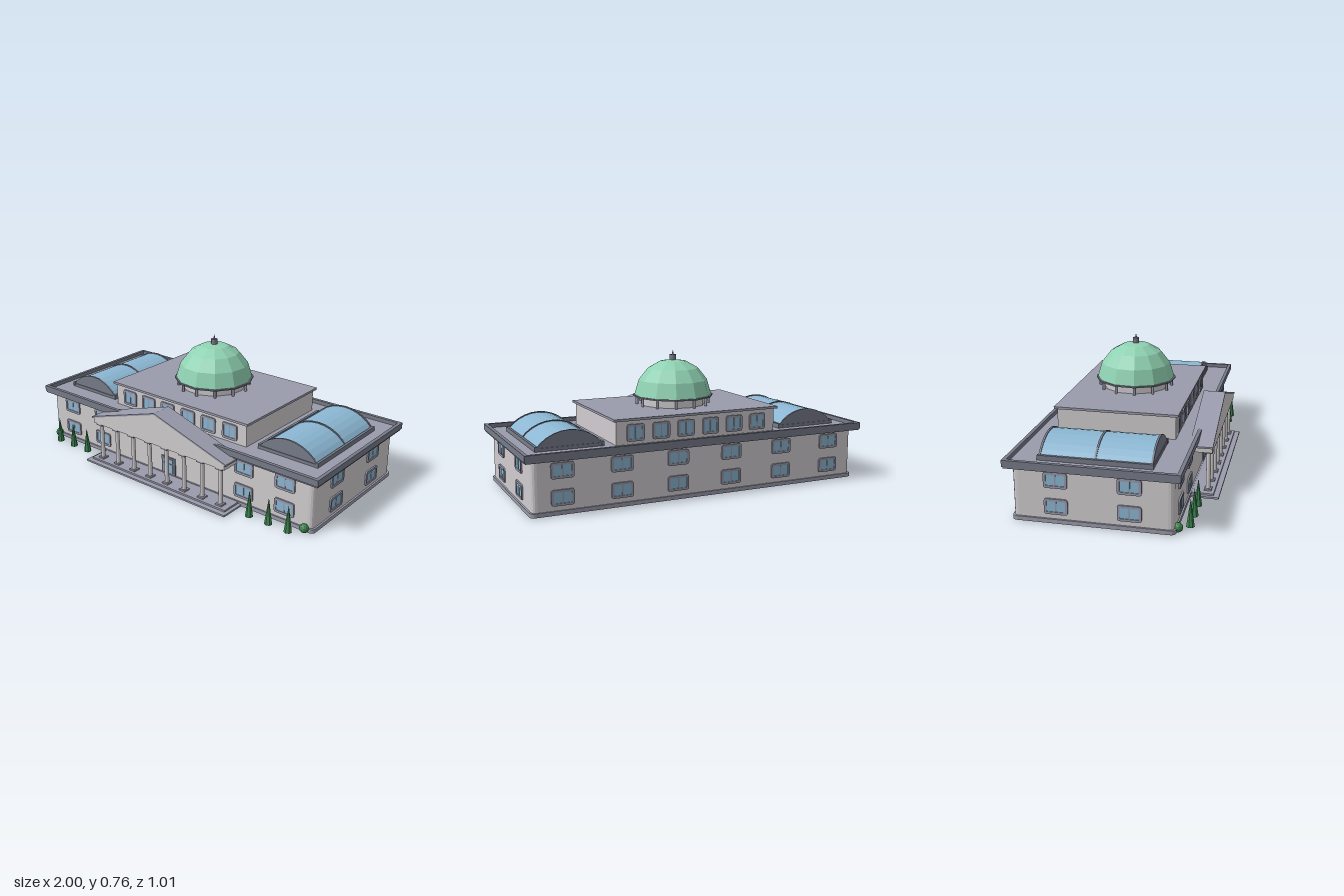
import * as THREE from 'three';

const mat = (name, color) => {
  const m = new THREE.MeshStandardMaterial({ color });
  m.name = name;
  return m;
};
const CZ = -0.06; // centre of the main block in z

export function createModel() {
  const wall = mat('wall stone', 0xd0cccf);
  const roof = mat('roof grey', 0x9a9bac);
  const trim = mat('dark trim', 0x777b89);
  const frame = mat('window frame', 0x9898ab);
  const glass = mat('glass blue', 0x8bb6d2);
  const copper = mat('dome green', 0x90d2b3);
  const leaf = mat('leaf green', 0x3d8650);
  const root = new THREE.Group();
  root.name = 'domedHall';

  const add = (name, geo, material, x = 0, y = 0, z = 0, parent = root) => {
    const m = new THREE.Mesh(geo, material);
    m.name = name;
    m.position.set(x, y, z);
    parent.add(m);
    return m;
  };
  // box given by its centre in x and z and its bottom and top in y
  const box = (name, material, x, z, w, d, y0, y1, parent) =>
    add(name, new THREE.BoxGeometry(w, y1 - y0, d), material, x, (y0 + y1) / 2, z, parent);
  const faceted = (geo) => {
    const g = geo.toNonIndexed();
    g.computeVertexNormals();
    return g;
  };
  const roundRect = (w, h, r, Kind = THREE.Shape) => {
    const s = new Kind(), a = w / 2, b = h / 2;
    s.moveTo(-a + r, -b);
    s.lineTo(a - r, -b).quadraticCurveTo(a, -b, a, -b + r);
    s.lineTo(a, b - r).quadraticCurveTo(a, b, a - r, b);
    s.lineTo(-a + r, b).quadraticCurveTo(-a, b, -a, b - r);
    s.lineTo(-a, -b + r).quadraticCurveTo(-a, -b, -a + r, -b);
    return s;
  };
  const slab = (name, material, w, d, y0, y1, r) => {
    const g = new THREE.ExtrudeGeometry(roundRect(w, d, r), { depth: y1 - y0, bevelEnabled: false, curveSegments: 4 });
    g.rotateX(-Math.PI / 2);
    return add(name, g, material, 0, y0, CZ);
  };

  // main block with plinth, cornice and parapet
  slab('plinth', roof, 1.94, 0.832, 0, 0.022, 0.03);
  slab('mainWalls', wall, 1.92, 0.816, 0.022, 0.285, 0.03);
  box('cornice', trim, 0, CZ, 1.99, 0.88, 0.283, 0.299);
  box('mainRoof', roof, 0, CZ, 1.97, 0.86, 0.299, 0.304);
  const ring = new THREE.Shape([[-1, -0.445], [1, -0.445], [1, 0.445], [-1, 0.445]].map(p => new THREE.Vector2(...p)));
  ring.holes.push(new THREE.Path([[-0.98, -0.425], [-0.98, 0.425], [0.98, 0.425], [0.98, -0.425]].map(p => new THREE.Vector2(...p))));
  const ringGeo = new THREE.ExtrudeGeometry(ring, { depth: 0.035, bevelEnabled: false });
  ringGeo.rotateX(-Math.PI / 2);
  add('parapet', ringGeo, trim, 0, 0.292, CZ);

  // upper block
  box('upperWalls', wall, 0, CZ, 0.96, 0.65, 0.3, 0.434);
  box('upperRoof', roof, 0, CZ, 0.99, 0.68, 0.432, 0.445);

  // windows: rounded frame, mullion and pane, facing +z before turning
  const windowAt = (x, y, z, turn, w = 0.122, h = 0.083) => {
    const g = new THREE.Group();
    g.name = 'window';
    g.position.set(x, y, z);
    g.rotation.y = turn;
    root.add(g);
    const s = roundRect(w, h, 0.014);
    s.holes.push(roundRect(w - 0.026, h - 0.026, 0.004, THREE.Path));
    add('windowFrame', new THREE.ExtrudeGeometry(s, { depth: 0.008, bevelEnabled: false, curveSegments: 3 }), frame, 0, 0, 0, g);
    add('windowPane', new THREE.BoxGeometry(w - 0.024, h - 0.024, 0.004), glass, 0, 0, 0.002, g);
    add('windowMullion', new THREE.BoxGeometry(0.007, h - 0.024, 0.006), frame, 0, 0, 0.003, g);
  };
  for (const y of [0.089, 0.229]) {
    for (const s of [-1, 1]) {
      for (const x of [0.53, 0.79]) windowAt(s * x, y, 0.348, 0);
      for (const x of [0.16, 0.48, 0.8]) windowAt(s * x, y, -0.468, Math.PI);
      for (const z of [0.128, -0.244]) windowAt(s * 0.96, y, z, s * Math.PI / 2);
    }
  }
  for (const s of [-1, 1]) for (const x of [0.075, 0.222, 0.37]) {
    windowAt(s * x, 0.366, 0.265, 0, 0.1, 0.092);
    windowAt(s * x, 0.366, -0.385, Math.PI, 0.1, 0.092);
  }

  // entrance door and the window above it
  windowAt(0, 0.232, 0.348, 0, 0.11, 0.1);
  box('doorFrame', trim, 0, 0.351, 0.1, 0.008, 0.02, 0.128);
  for (const s of [-1, 1]) {
    box('doorPane', glass, s * 0.02, 0.356, 0.03, 0.004, 0.034, 0.088);
    box('transomPane', glass, s * 0.02, 0.356, 0.03, 0.004, 0.096, 0.118);
  }

  // portico: steps, columns, entablature, gable
  box('lowerStep', roof, 0, 0.42, 1.04, 0.17, 0, 0.01);
  box('upperStep', roof, 0, 0.41, 1.0, 0.13, 0.01, 0.02);
  for (let i = 0; i < 8; i++) {
    const x = (i - 3.5) * 0.127;
    box('columnBase', roof, x, 0.438, 0.04, 0.04, 0.02, 0.029);
    add('columnShaft', new THREE.CylinderGeometry(0.012, 0.013, 0.208, 12), wall, x, 0.132, 0.438);
    box('columnCapital', roof, x, 0.438, 0.044, 0.044, 0.235, 0.246);
  }
  const prism = (pts, depth) => new THREE.ExtrudeGeometry(
    new THREE.Shape(pts.map(p => new THREE.Vector2(...p))), { depth, bevelEnabled: false });
  add('pediment', prism([[-0.485, 0.245], [0.485, 0.245], [0.485, 0.278], [0, 0.428], [-0.485, 0.278]], 0.115), wall, 0, 0, 0.347);
  add('gableRoof', prism([[-0.497, 0.272], [0, 0.426], [0.497, 0.272], [0.497, 0.281], [0, 0.435], [-0.497, 0.281]], 0.125), roof, 0, 0, 0.34);

  // vaulted skylights: glass arc, end walls, ribs and curbs
  const arcShape = (half, rise) => {
    const r = (half * half + rise * rise) / (2 * rise), a = Math.asin(half / r), pts = [];
    for (let i = 0; i <= 10; i++) {
      const t = a - (2 * a * i) / 10;
      pts.push([r * Math.sin(t), rise - r + r * Math.cos(t)]);
    }
    return pts;
  };
  for (const s of [-1, 1]) {
    const g = new THREE.Group();
    g.name = 'skylight';
    g.position.set(s * 0.72, 0.318, CZ);
    root.add(g);
    const vault = prism(arcShape(0.175, 0.082), 0.57);
    vault.translate(0, 0, -0.285);
    add('vault', vault, [trim, glass], 0, 0, 0, g);
    for (const z of [-0.285, 0, 0.285]) {
      const rib = prism(arcShape(0.18, 0.087), 0.01);
      rib.translate(0, 0, -0.005);
      add('rib', rib, trim, 0, 0, z, g);
    }
    for (const e of [-1, 1]) box('sideCurb', trim, e * 0.179, 0, 0.014, 0.59, -0.018, 0.012, g);
    for (const e of [-1, 1]) box('endCurb', trim, 0, e * 0.288, 0.36, 0.012, -0.018, 0.004, g);
  }

  // drum, ring of columns, dome and finial
  const SIDES = 12;
  const turn = Math.PI / 18;
  add('drum', faceted(new THREE.CylinderGeometry(0.185, 0.185, 0.05, SIDES)), wall, 0, 0.47, CZ).rotation.y = turn;
  for (let i = 0; i < SIDES; i++) {
    const a = turn + (i * 2 * Math.PI) / SIDES;
    add('drumColumn', new THREE.CylinderGeometry(0.008, 0.008, 0.05, 8), roof, 0.207 * Math.sin(a), 0.47, CZ + 0.207 * Math.cos(a));
  }
  add('domeRing', faceted(new THREE.CylinderGeometry(0.231, 0.231, 0.008, SIDES)), trim, 0, 0.496, CZ).rotation.y = turn;
  const domeProfile = [[0.222, 0.5], [0.197, 0.585], [0.144, 0.652], [0.077, 0.69], [0, 0.701]];
  add('dome', faceted(new THREE.LatheGeometry(domeProfile.map(p => new THREE.Vector2(...p)), SIDES)), copper, 0, 0, CZ).rotation.y = turn;
  add('finialBase', new THREE.CylinderGeometry(0.018, 0.018, 0.035, 12), trim, 0, 0.711, CZ);
  add('finialSpike', new THREE.ConeGeometry(0.006, 0.028, 8), roof, 0, 0.742, CZ);

  // cone trees and corner bushes
  for (const s of [-1, 1]) {
    for (const x of [0.613, 0.735, 0.856])
      add('coneTree', faceted(new THREE.ConeGeometry(0.022, 0.152, 7)), leaf, s * x, 0.076, 0.41);
    add('bush', faceted(new THREE.IcosahedronGeometry(0.025, 1).deleteAttribute('uv')), leaf, s * 0.92, 0.021, 0.36);
  }
  return root;
}
